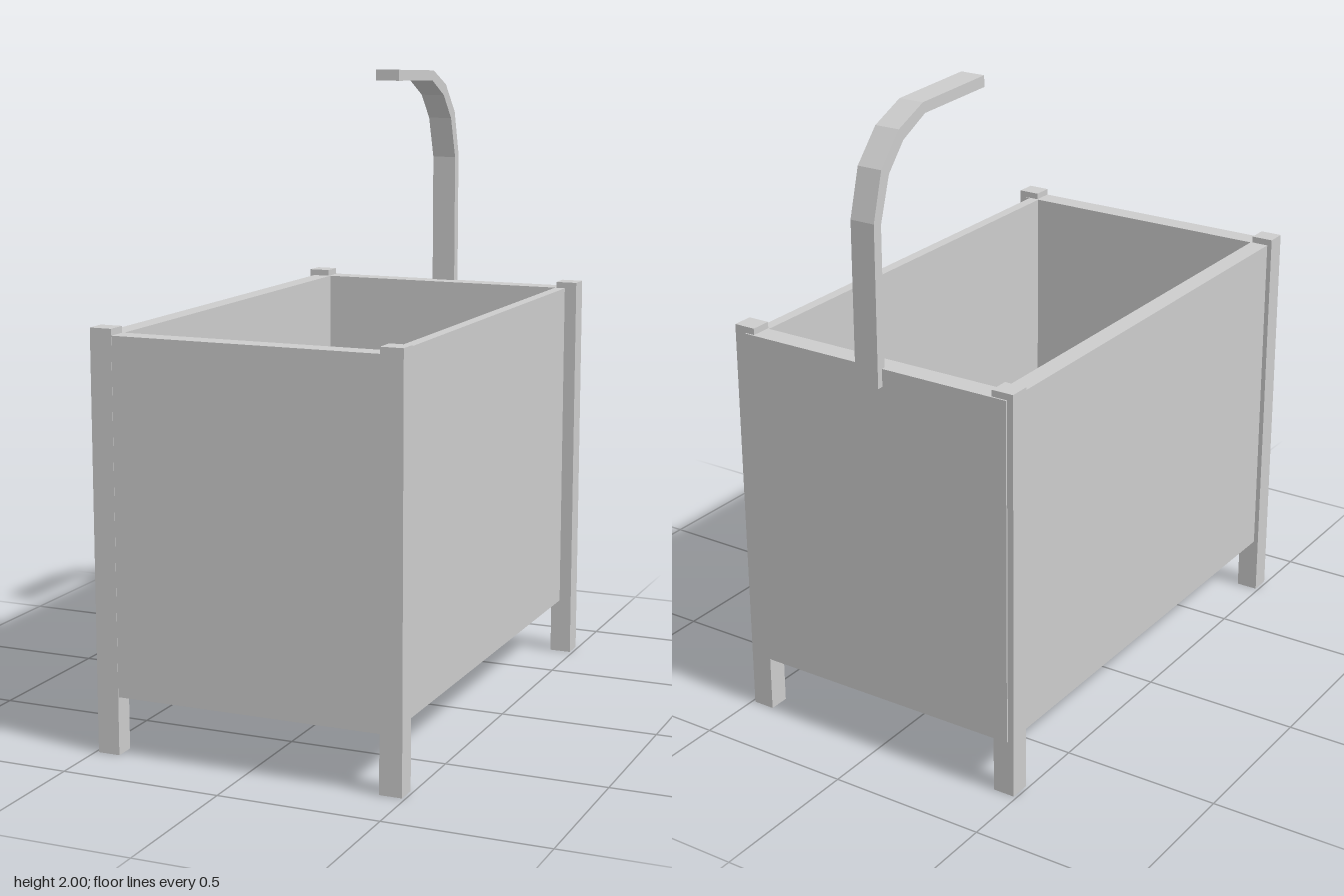
import * as THREE from 'three';

const material = new THREE.MeshStandardMaterial({ color: 0xcccccc, flatShading: true });

// Box given by its extents along each axis
function box(name, [x0, x1], [y0, y1], [z0, z1]) {
  const geometry = new THREE.BoxGeometry(x1 - x0, y1 - y0, z1 - z0);
  geometry.translate((x0 + x1) / 2, (y0 + y1) / 2, (z0 + z1) / 2);
  const mesh = new THREE.Mesh(geometry, material);
  mesh.name = name;
  return mesh;
}

export function createModel() {
  const model = new THREE.Group();
  model.name = 'planterBox';

  // Four corner posts, slightly taller than the panels
  const posts = { front: [0.75, 0.815], back: [-0.79, -0.724] };
  for (const [end, z] of Object.entries(posts)) {
    model.add(box(end + 'LeftPost', [0.42, 0.49], [0, 1.285], z));
    model.add(box(end + 'RightPost', [-0.49, -0.42], [0, 1.285], z));
  }

  // Open-topped box: four panels and a thin floor
  const wall = [0.18, 1.265];
  model.add(box('leftPanel', [0.415, 0.45], wall, [-0.76, 0.78]));
  model.add(box('rightPanel', [-0.475, -0.415], wall, [-0.76, 0.78]));
  model.add(box('frontPanel', [-0.47, 0.47], wall, [0.747, 0.814]));
  model.add(box('backPanel', [-0.47, 0.45], wall, [-0.795, -0.727]));
  model.add(box('floor', [-0.45, 0.44], [0.18, 0.21], [-0.76, 0.78]));

  // Hooked arm: side profile in (z, y), extruded across x
  const outer = [[-0.815, 1.21], [-0.815, 1.7], [-0.775, 1.845], [-0.69, 1.94], [-0.575, 1.99], [-0.27, 2]];
  const inner = [[-0.27, 1.965], [-0.565, 1.957], [-0.67, 1.905], [-0.74, 1.825], [-0.782, 1.69], [-0.782, 1.21]];
  const profile = new THREE.Shape([...outer, ...inner].map(([z, y]) => new THREE.Vector2(z, y)));
  const armGeometry = new THREE.ExtrudeGeometry(profile, { depth: 0.08, bevelEnabled: false });
  armGeometry.rotateY(-Math.PI / 2).translate(0.03, 0, 0);
  const arm = new THREE.Mesh(armGeometry, material);
  arm.name = 'hookedArm';
  model.add(arm);

  return model;
}
